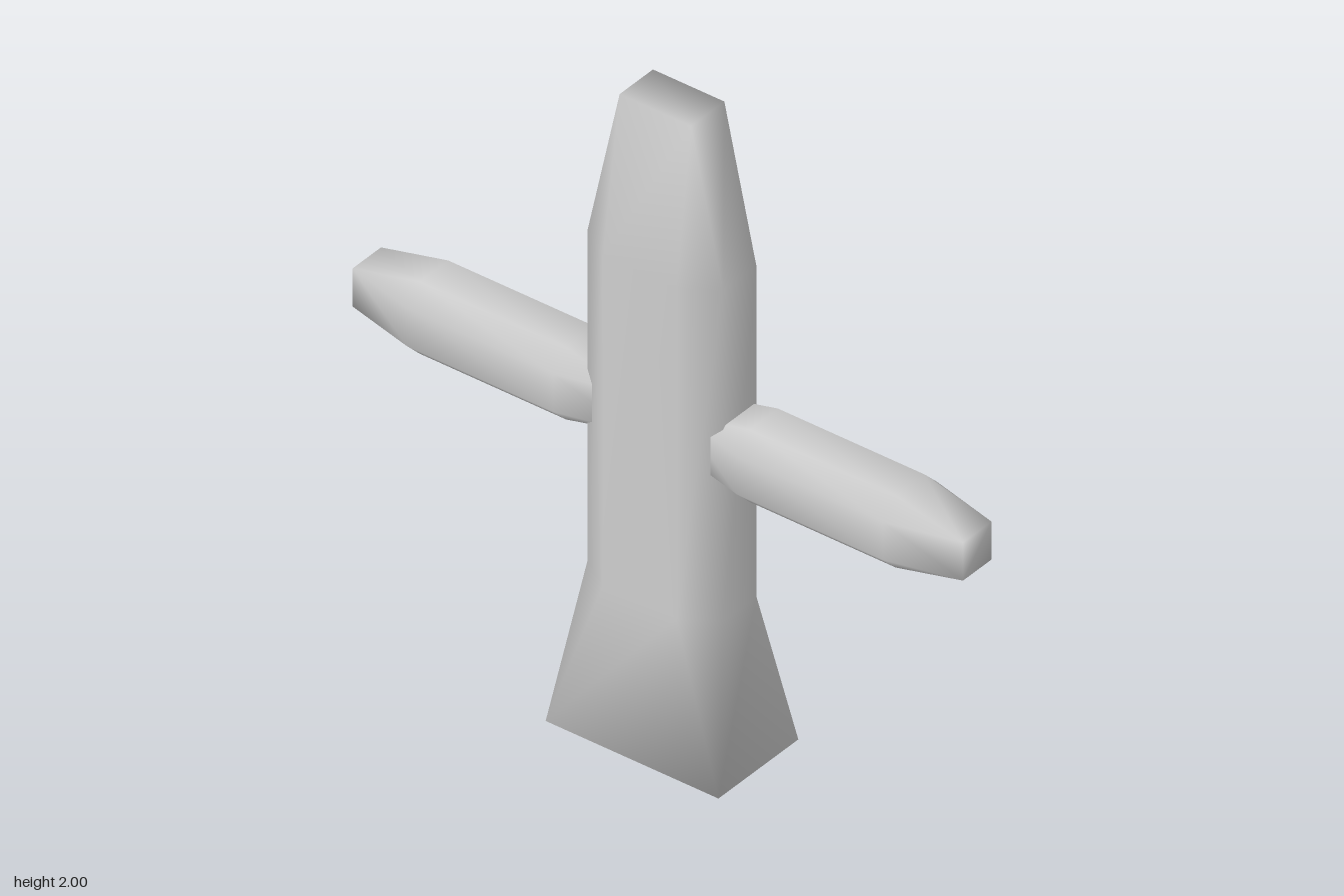
import * as THREE from 'three';
import { mergeVertices } from 'three/addons/utils/BufferGeometryUtils.js';

// Eight-point chamfered rectangle: half sizes w, d and the half lengths of its flats.
// With flats equal to the half sizes it becomes a plain rectangle.
function ring({ y, w, d, flatW = w, flatD = d }) {
  return [
    [flatW, d], [w, flatD], [w, -flatD], [flatW, -d],
    [-flatW, -d], [-w, -flatD], [-w, flatD], [-flatW, d],
  ].map(([x, z]) => new THREE.Vector3(x, y, z));
}

// Smooth, capped loft through the sections, running up y
function loft(sections) {
  const rings = sections.map(ring);
  const pos = [];
  const tri = (a, b, c) => {
    if (a.distanceTo(b) < 1e-5 || b.distanceTo(c) < 1e-5 || c.distanceTo(a) < 1e-5) return;
    for (const p of [a, b, c]) pos.push(p.x, p.y, p.z);
  };
  for (let r = 0; r < rings.length - 1; r++) {
    const lo = rings[r], hi = rings[r + 1];
    for (let i = 0; i < 8; i++) {
      const j = (i + 1) % 8;
      tri(lo[i], lo[j], hi[j]);
      tri(lo[i], hi[j], hi[i]);
    }
  }
  const first = rings[0], last = rings[rings.length - 1];
  for (let i = 1; i < 7; i++) {
    tri(first[0], first[i + 1], first[i]);
    tri(last[0], last[i], last[i + 1]);
  }
  const geo = new THREE.BufferGeometry();
  geo.setAttribute('position', new THREE.Float32BufferAttribute(pos, 3));
  const merged = mergeVertices(geo, 1e-4);
  merged.computeVertexNormals();
  return merged;
}

export function createModel() {
  const group = new THREE.Group();
  const material = new THREE.MeshStandardMaterial({ color: 0xcccccc });

  // Upright: flared foot, chamfered shaft, tapered top
  const shaft = { w: 0.222, d: 0.136, flatW: 0.12, flatD: 0.07 };
  const upright = new THREE.Mesh(loft([
    { y: 0, w: 0.283, d: 0.168 },
    { y: 0.48, ...shaft },
    { y: 1.525, ...shaft },
    { y: 2, w: 0.117, d: 0.07 },
  ]), material);
  upright.name = 'upright';
  group.add(upright);

  // Arms: chamfered bars tapering at both ends, inner ends sunk in the upright
  const bar = { w: 0.114, d: 0.114, flatW: 0.06, flatD: 0.06 };
  const armGeometry = loft([
    { y: 0.08, w: 0.06, d: 0.06 },
    { y: 0.3, ...bar },
    { y: 0.78, ...bar },
    { y: 1, w: 0.06, d: 0.06 },
  ]).rotateZ(-Math.PI / 2);
  for (const [name, turn] of [['leftArm', 0], ['rightArm', Math.PI]]) {
    const arm = new THREE.Mesh(armGeometry, material);
    arm.name = name;
    arm.position.y = 1;
    arm.rotation.y = turn;
    group.add(arm);
  }
  return group;
}
